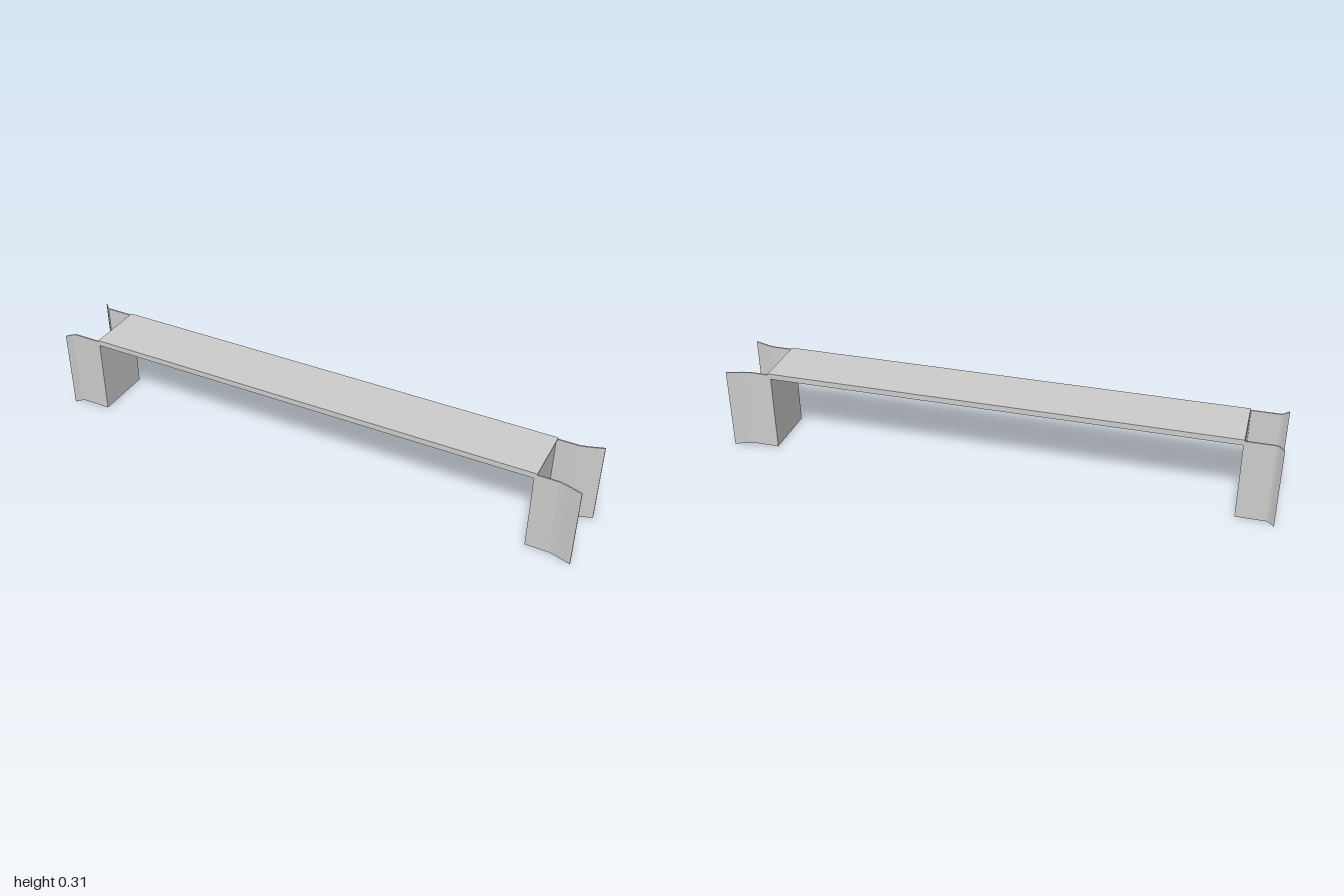
import * as THREE from 'three';

const material = new THREE.MeshStandardMaterial({ color: 0xcccccc, flatShading: true });
const HALF = 0.108; // half width of the beam
const SHEET = 0.005; // sheet thickness

// Slab between two x and two y values, across the beam's width
function slab(name, x0, x1, y0, y1) {
  const mesh = new THREE.Mesh(new THREE.BoxGeometry(x1 - x0, y1 - y0, HALF * 2), material);
  mesh.position.set((x0 + x1) / 2, (y0 + y1) / 2, 0);
  mesh.name = name;
  return mesh;
}

// Bent sheet bracket: a web across the beam end and two flanges flaring outward.
// flange: [x, z] points of the outer face, from web to tip
function bracket(name, flange, height) {
  const out = Math.sign(flange[0][0]);
  const inner = flange.map(([x, z], i) => [i ? x : x + out * SHEET, z - SHEET]);
  const mirror = ([x, z]) => [x, -z];
  const outline = [
    ...flange, ...[...inner].reverse(),
    ...inner.map(mirror), ...[...flange].reverse().map(mirror),
  ];
  const shape = new THREE.Shape(outline.map(([x, z]) => new THREE.Vector2(x, z)));
  const geometry = new THREE.ExtrudeGeometry(shape, { depth: height, bevelEnabled: false });
  geometry.rotateX(-Math.PI / 2);
  const mesh = new THREE.Mesh(geometry, material);
  mesh.name = name;
  return mesh;
}

export function createModel() {
  const model = new THREE.Group();
  model.name = 'bracketedBeam';

  // Beam: core between the brackets and a top plate over the webs
  model.add(slab('beamCore', -0.865, 0.835, 0.287, 0.303));
  model.add(slab('topPlate', -0.868, 0.845, 0.303, 0.308));

  // Short flare on the right end, long flare on the left end
  model.add(bracket('rightBracket', [[-0.865, HALF], [-0.972, HALF], [-0.982, 0.114], [-1, 0.133]], 0.303));
  model.add(bracket('leftBracket', [[0.835, HALF], [0.92, HALF], [0.945, 0.114], [1, 0.132]], 0.303));

  return model;
}
